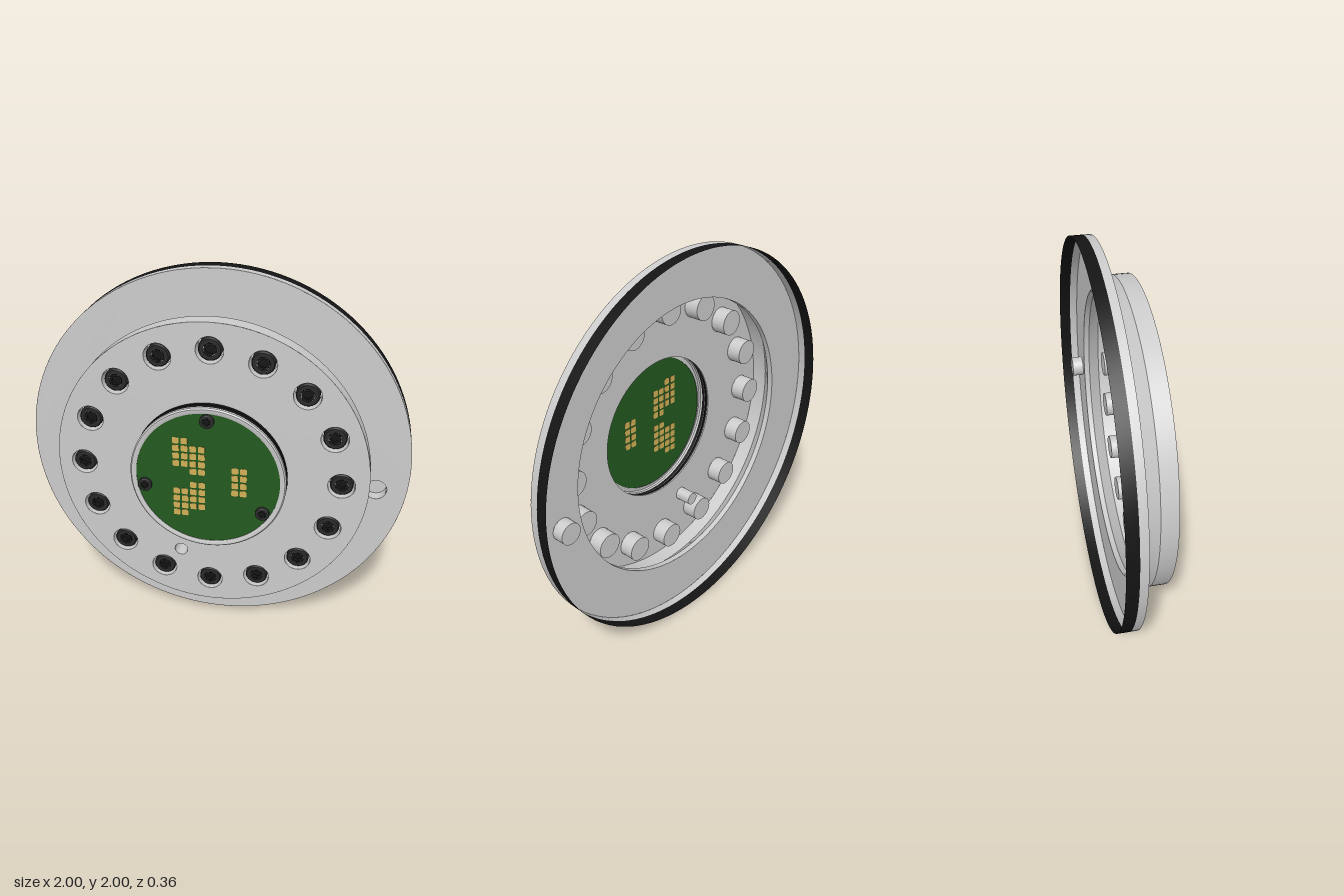
import * as THREE from 'three';
import { toCreasedNormals } from 'three/addons/utils/BufferGeometryUtils.js';

const material = (color) => new THREE.MeshStandardMaterial({ color, side: THREE.DoubleSide });
const grey = material(0xcccccc);
const black = material(0x141414);
const dark = material(0x2a2a2a);
const green = material(0x23591f);
const gold = material(0xd2b055);

function add(parent, name, geometry, mat, x = 0, y = 0, z = 0) {
  const mesh = new THREE.Mesh(geometry, mat);
  mesh.name = name;
  mesh.position.set(x, y, z);
  parent.add(mesh);
  return mesh;
}

// Surface of revolution about z, from [radius, z] points
function turned(points, segments = 96) {
  const g = new THREE.LatheGeometry(points.map(([r, z]) => new THREE.Vector2(r, z)), segments);
  g.rotateX(Math.PI / 2);
  return toCreasedNormals(g, 0.5);
}

// Flat ring pierced by round holes given as [x, y, radius]
function piercedRing(outer, inner, holes) {
  const shape = new THREE.Shape().absarc(0, 0, outer, 0, Math.PI * 2);
  shape.holes.push(new THREE.Path().absarc(0, 0, inner, 0, Math.PI * 2, true));
  for (const [x, y, r] of holes) {
    shape.holes.push(new THREE.Path().absarc(x, y, r, 0, Math.PI * 2, true));
  }
  return new THREE.ShapeGeometry(shape, 48);
}

// Blind hole: wall and floor, opening at z = 0
const blindHole = (r, depth) => turned([[0, -depth], [r, -depth], [r, 0]], 32);

// Cap screw head with a hexagonal socket, standing on z = 0
function screwHead(parent, name, r, h, x, y, z) {
  const screw = new THREE.Group();
  screw.name = name;
  screw.position.set(x, y, z);
  parent.add(screw);
  add(screw, 'head', turned([[r, 0], [r, h * 0.88], [r * 0.9, h], [r * 0.56, h]], 32), dark);
  add(screw, 'socketRim', new THREE.RingGeometry(r * 0.42, r * 0.57, 6, 1), dark, 0, 0, h * 0.99);
  add(screw, 'socket', turned([[0, h * 0.5], [r * 0.56, h * 0.5], [r * 0.56, h]], 6), black);
}

export function createModel() {
  const model = new THREE.Group();
  model.name = 'sensorFlange';
  const body = new THREE.Group();
  body.name = 'body';
  body.position.y = 1;
  model.add(body);

  // Hole layout
  const bolts = [];
  for (let i = 0; i < 16; i++) {
    const a = (i * Math.PI) / 8;
    bolts.push([0.663 * Math.cos(a), 0.663 * Math.sin(a), 0.068]);
  }
  const pinHole = [-0.157, -0.49, 0.035];
  const flangeHole = [0.838, -0.107, 0.055];

  // Open-backed flange with a black band around its rear edge
  add(body, 'flangeFace', piercedRing(1, 0.735, [flangeHole]), grey, 0, 0, -0.08);
  add(body, 'flangeRim', turned([[1, -0.12], [1, -0.08]], 128), grey);
  add(body, 'rimBand', turned([[1, -0.18], [1, -0.12]], 128), black);
  add(body, 'flangeHole', blindHole(flangeHole[2], 0.06), grey, flangeHole[0], flangeHole[1], -0.08);

  // Raised hub with an undercut neck
  add(body, 'hubWall', turned([[0.735, -0.08], [0.735, -0.05], [0.8, 0.015], [0.8, 0.1]], 128), grey);
  add(body, 'hubFace', piercedRing(0.8, 0.385, [...bolts, pinHole]), grey, 0, 0, 0.1);
  add(body, 'pinHole', blindHole(pinHole[2], 0.09), grey, pinHole[0], pinHole[1], 0.1);

  // Bolt circle
  for (const [x, y, r] of bolts) {
    add(body, 'boltPocket', blindHole(r, 0.08), grey, x, y, 0.1);
    screwHead(body, 'bolt', 0.058, 0.07, x, y, 0.021);
  }

  // Bezel around the circuit board, with two black seals
  add(body, 'bezelBase', turned([[0.385, 0.1], [0.385, 0.108], [0.397, 0.108]]), grey);
  add(body, 'rearSeal', turned([[0.397, 0.108], [0.397, 0.125], [0.388, 0.125]]), black);
  add(body, 'sealGroove', turned([[0.388, 0.125], [0.388, 0.13], [0.397, 0.13]]), grey);
  add(body, 'frontSeal', turned([[0.397, 0.13], [0.397, 0.152]]), black);
  add(body, 'bezel', turned([[0.397, 0.152], [0.397, 0.164], [0.39, 0.171],
    [0.378, 0.171], [0.366, 0.166], [0.366, 0.16]]), grey);

  // Circuit board and its fixing screws
  const board = new THREE.Group();
  board.name = 'circuitBoard';
  board.position.z = 0.163;
  body.add(board);
  add(board, 'boardDisc', new THREE.CircleGeometry(0.367, 96), green);
  for (const [x, y] of [[0, 0.328], [-0.322, -0.057], [0.283, -0.163]]) {
    screwHead(board, 'boardScrew', 0.036, 0.017, x, y, 0.0005);
  }

  // Rounded contact pads, visible on both faces of the board
  const s = 0.017, c = 0.007;
  const padShape = new THREE.Shape()
    .absarc(s - c, s - c, c, 0, Math.PI / 2)
    .absarc(c - s, s - c, c, Math.PI / 2, Math.PI)
    .absarc(c - s, c - s, c, Math.PI, Math.PI * 1.5)
    .absarc(s - c, c - s, c, Math.PI * 1.5, Math.PI * 2);
  const padGeometry = new THREE.ExtrudeGeometry(padShape, { depth: 0.003, bevelEnabled: false, curveSegments: 4 });
  padGeometry.translate(0, 0, -0.0015);
  const step = 0.0425;
  const column = (x, top) => {
    for (let i = 0; i < 4; i++) add(board, 'contactPad', padGeometry, gold, x, top - i * step);
  };
  for (let i = 0; i < 4; i++) {
    const x = -0.159 + i * 0.0435;
    const top = i < 2 ? 0.208 : 0.166;
    column(x, top);
    column(x, 3 * step - top);
  }
  column(0.14, 0.064);
  column(0.183, 0.064);

  return model;
}
